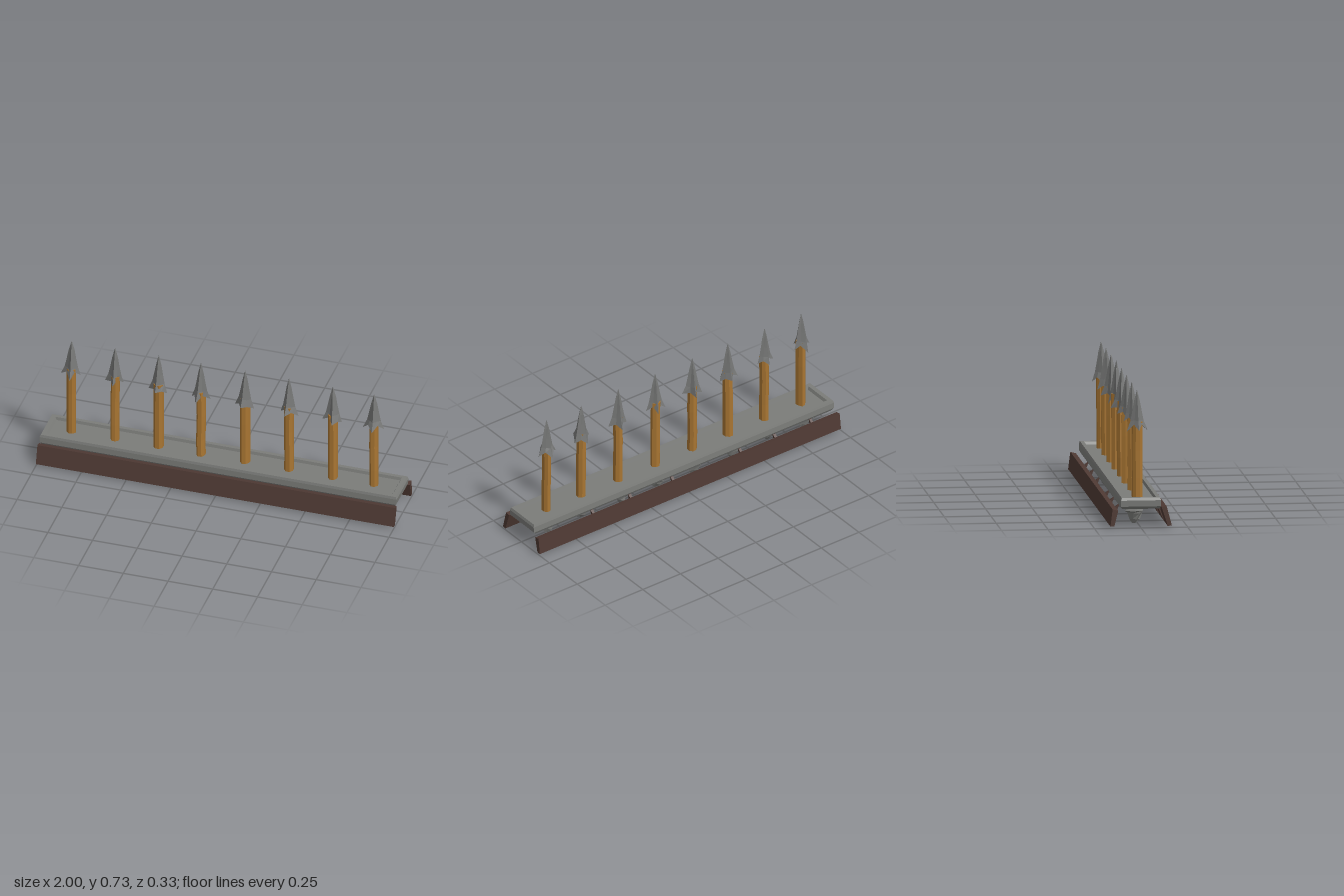
import * as THREE from 'three';

const mat = (name, color) => {
  const m = new THREE.MeshStandardMaterial({ color });
  m.name = name;
  return m;
};

// Small seeded generator for the rough-hewn irregularities
let seed = 7;
const jitter = (amount) => {
  seed = (seed * 16807) % 2147483647;
  return (seed / 2147483647 * 2 - 1) * amount;
};

// Faceted skin over a stack of rings (each ring counter-clockwise from above)
function loft(rings, capBottom = true, capTop = true) {
  const pos = [];
  const tri = (a, b, c) => pos.push(...a, ...b, ...c);
  const n = rings[0].length;
  for (let r = 0; r < rings.length - 1; r++) {
    for (let i = 0; i < n; i++) {
      const j = (i + 1) % n, lo = rings[r], up = rings[r + 1];
      tri(lo[i], lo[j], up[j]);
      tri(lo[i], up[j], up[i]);
    }
  }
  const last = rings[rings.length - 1];
  for (let i = 1; i < n - 1; i++) {
    if (capBottom) tri(rings[0][0], rings[0][i + 1], rings[0][i]);
    if (capTop) tri(last[0], last[i], last[i + 1]);
  }
  const g = new THREE.BufferGeometry();
  g.setAttribute('position', new THREE.Float32BufferAttribute(pos, 3));
  g.computeVertexNormals();
  return g;
}

// Ring whose radius and height come from a rule per corner
function ring(n, corner, turn = 0) {
  return Array.from({ length: n }, (_, i) => {
    const a = turn + i / n * Math.PI * 2;
    const [rx, y, rz = rx, cx = 0, cz = 0] = corner(i);
    return [cx + Math.cos(a) * rx, y, cz - Math.sin(a) * rz];
  });
}

const rectangle = (x, y, z) => [[x, y, z], [x, y, -z], [-x, y, -z], [-x, y, z]];

// Bar along x with a (z, y) cross-section
function bar(section, length, x = 0) {
  const shape = new THREE.Shape(section.map(([z, y]) => new THREE.Vector2(-z, y)));
  const g = new THREE.ExtrudeGeometry(shape, { depth: length, bevelEnabled: false });
  return g.rotateY(Math.PI / 2).translate(x - length / 2, 0, 0);
}

// Four-barbed spearhead, hollow underneath
function spearheadGeometry() {
  const turn = jitter(0.25);
  const barbs = Array.from({ length: 8 }, () => [jitter(0.009), jitter(0.012)]);
  const star = (outer, inner, y, drop = 0, wild = 0) => ring(8, (i) => {
    const barb = i % 2 === 0;
    const r = (barb ? outer : inner) + barbs[i][0] * wild;
    return [r, y - (barb ? drop : 0) + barbs[i][1] * wild, r * 0.93];
  }, turn);
  return loft([
    star(0.02, 0.02, 0.56),
    star(0.056, 0.031, 0.53, 0.021, 1),
    star(0.037, 0.025, 0.56, 0, 0.3),
    star(0.026, 0.017, 0.615, 0, 0.2),
    star(0.016, 0.01, 0.67),
    star(0.001, 0.001, 0.727 + jitter(0.005)),
  ]);
}

// Slightly crooked wooden shaft
function shaftGeometry() {
  const turn = Math.PI / 8;
  const rough = Array.from({ length: 8 }, () => jitter(0.003));
  return loft([0.13, 0.25, 0.4, 0.555].map((y) => {
    const cx = jitter(0.002), cz = jitter(0.002);
    return ring(8, (i) => [0.026 + rough[i], y, 0.029 + rough[i], cx, cz], turn);
  }));
}

// Jagged clump hanging beneath each shaft
function clumpGeometry(bottom) {
  const lean = jitter(0.022), side = jitter(0.012);
  const levels = [[0.009, bottom], [0.026, bottom + 0.022], [0.038, 0.062], [0.05, 0.083], [0.045, 0.112]];
  return loft(levels.map(([r, y], k) => ring(8, (i) => {
    const spike = r * (i % 2 ? 0.75 : 1.1) + jitter(r * 0.2);
    const wobble = k > 0 && k < 4 ? jitter(0.008) : 0;
    return [spike, y + wobble, spike * 1.15, side * (1 - k / 4), -0.008 + lean * (1 - k / 5)];
  }, k * 0.2)));
}

export function createModel() {
  seed = 7;
  const group = new THREE.Group();
  const iron = mat('spearhead grey', 0x777877);
  const stone = mat('slab grey', 0x7b7c79);
  const wood = mat('shaft wood', 0xa87532);
  const darkWood = mat('dark board wood', 0x4e3933);
  const add = (name, geometry, material, parent = group) => {
    const m = new THREE.Mesh(geometry, material);
    m.name = name;
    parent.add(m);
    return m;
  };

  // Slab with chamfered edges and a shallow tray in its top
  add('slab', loft([
    rectangle(0.98, 0.102, 0.1),
    rectangle(0.995, 0.117, 0.108),
    rectangle(0.998, 0.15, 0.107),
    rectangle(0.992, 0.164, 0.103),
    rectangle(0.968, 0.164, 0.083),
    rectangle(0.96, 0.148, 0.078),
  ]), stone);

  // Leaning side boards
  add('frontBoard', bar([[0.11, 0.113], [0.137, 0.117], [0.165, 0.013], [0.143, 0.01]], 2), darkWood);
  add('backBoard', bar([[-0.123, 0.097], [-0.153, 0.105], [-0.165, 0.012], [-0.144, 0.012]], 2), darkWood);

  // Thin struts tying the boards to the slab
  [-0.84, -0.6, -0.37, 0.08, 0.36, 0.61].forEach((x) => {
    add('frontStrut', bar([[0.083, 0.108], [0.112, 0.108], [0.148, 0.02], [0.136, 0.02], [0.112, 0.08], [0.083, 0.09]], 0.016, x), darkWood);
    add('backStrut', bar([[-0.1, 0.108], [-0.106, 0.108], [-0.128, 0.09], [-0.147, 0.018], [-0.136, 0.018]], 0.016, x), darkWood);
  });

  // Row of spears
  [-0.853, -0.61, -0.366, -0.13, 0.117, 0.362, 0.607, 0.838].forEach((x, i) => {
    const spear = new THREE.Group();
    spear.name = 'spear';
    spear.position.set(x, 0, -0.004);
    add('shaft', shaftGeometry(), wood, spear);
    const head = add('spearhead', spearheadGeometry(), iron, spear);
    head.position.z = -0.002;
    add('clump', clumpGeometry(i === 3 ? 0.002 : 0.016 + jitter(0.012)), stone, spear);
    group.add(spear);
  });
  return group;
}
